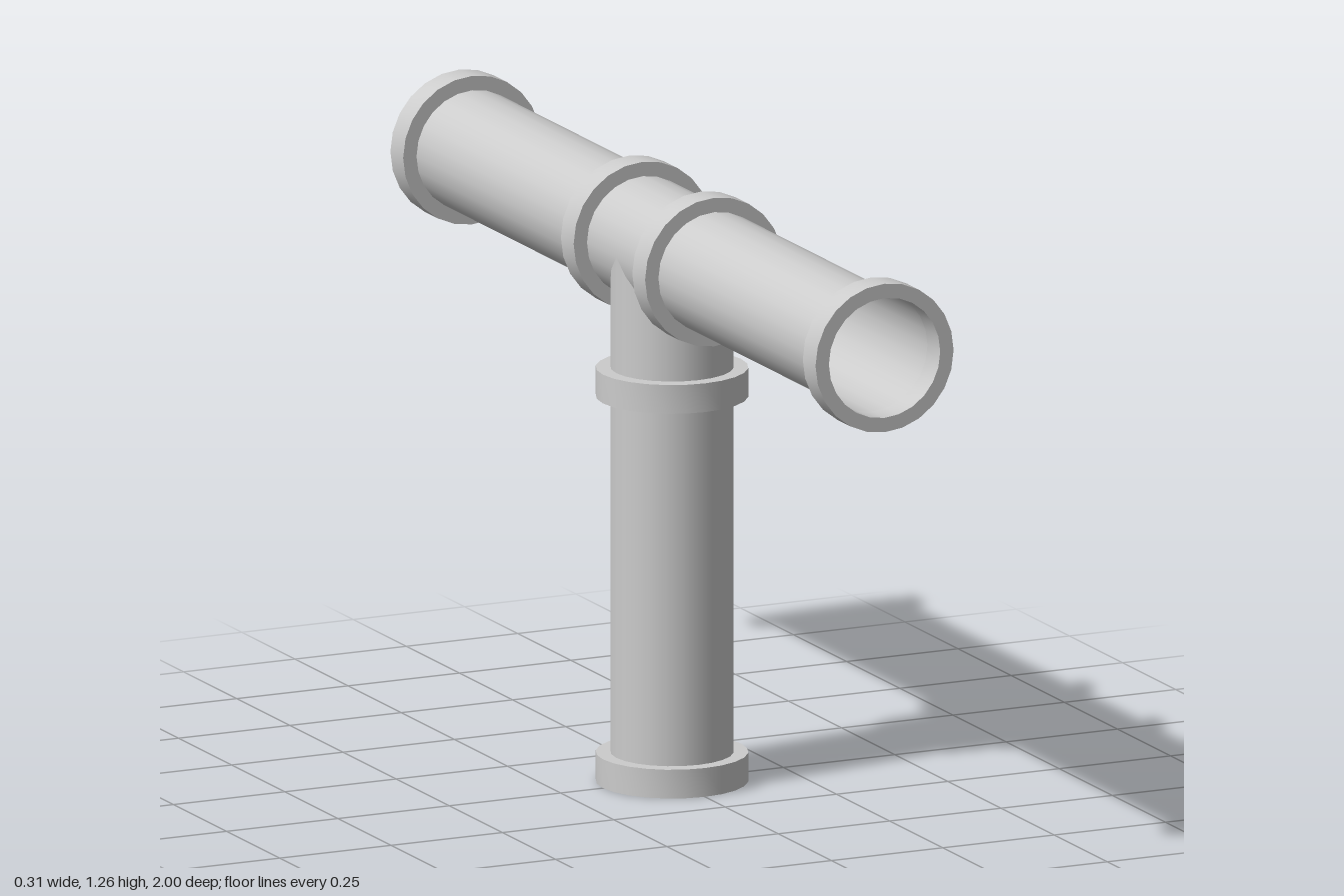
import * as THREE from 'three';
import { toCreasedNormals } from 'three/addons/utils/BufferGeometryUtils.js';

const R = 0.125;        // pipe radius
const COLLAR_R = 0.155; // collar outer radius
const COLLAR_H = 0.06;  // collar length
const AXIS_Y = 1.105;   // height of the crossing pipe's axis
const SEG = 24;

const material = new THREE.MeshStandardMaterial({ color: 0xcccccc, side: THREE.DoubleSide });

function add(parent, name, geometry) {
  const mesh = new THREE.Mesh(geometry, material);
  mesh.name = name;
  parent.add(mesh);
  return mesh;
}

// Thin open pipe along +y between two heights
function pipe(from, to) {
  return new THREE.CylinderGeometry(R, R, to - from, SEG, 1, true).translate(0, (from + to) / 2, 0);
}

// Square-edged ring along +y, starting at the given height
function collar(from) {
  const profile = [
    [COLLAR_R, 0], [COLLAR_R, COLLAR_H], [R, COLLAR_H], [R, 0], [COLLAR_R, 0],
  ].map(([r, y]) => new THREE.Vector2(r, y + from));
  return toCreasedNormals(new THREE.LatheGeometry(profile, SEG), 0.6);
}

// Move the vertices at one end of a pipe by a rule giving their new height
function trim(geometry, isEnd, rule) {
  const p = geometry.attributes.position;
  for (let i = 0; i < p.count; i++) {
    if (isEnd(p.getY(i))) p.setY(i, rule(p.getX(i), p.getZ(i)));
  }
  return geometry;
}

export function createModel() {
  const model = new THREE.Group();

  // Upright pipe with its collars
  const upright = new THREE.Group();
  upright.name = 'uprightPipe';
  add(upright, 'footCollar', collar(0));
  add(upright, 'lowerPipe', pipe(COLLAR_H, 0.803));
  add(upright, 'teeLowerCollar', collar(0.803));

  // Branch of the tee, its top shaped to a saddle against the crossing pipe
  const branch = trim(pipe(0.863, 1), y => y > 0.95,
    (x, z) => Math.max(AXIS_Y - Math.abs(z), 1.005));
  add(upright, 'teeBranch', branch);
  model.add(upright);

  // Two mirrored arms of the crossing pipe, local +y pointing outwards
  for (const side of [1, -1]) {
    const arm = new THREE.Group();
    arm.name = side > 0 ? 'frontArm' : 'backArm';
    arm.position.y = AXIS_Y;
    arm.rotation.set(Math.PI / 2, 0, 0);
    const turn = new THREE.Group();
    turn.name = arm.name + 'Mount';
    turn.rotation.y = side > 0 ? 0 : Math.PI;
    turn.add(arm);

    // Half of the tee body, with the lower side opened for the branch
    add(arm, 'teeBody', trim(pipe(0, 0.138), y => y < 0.01, (x, z) => Math.max(0, z)));
    add(arm, 'teeCollar', collar(0.138));
    add(arm, 'armPipe', pipe(0.198, 0.94));
    add(arm, 'endCollar', collar(0.94));
    model.add(turn);
  }
  return model;
}
